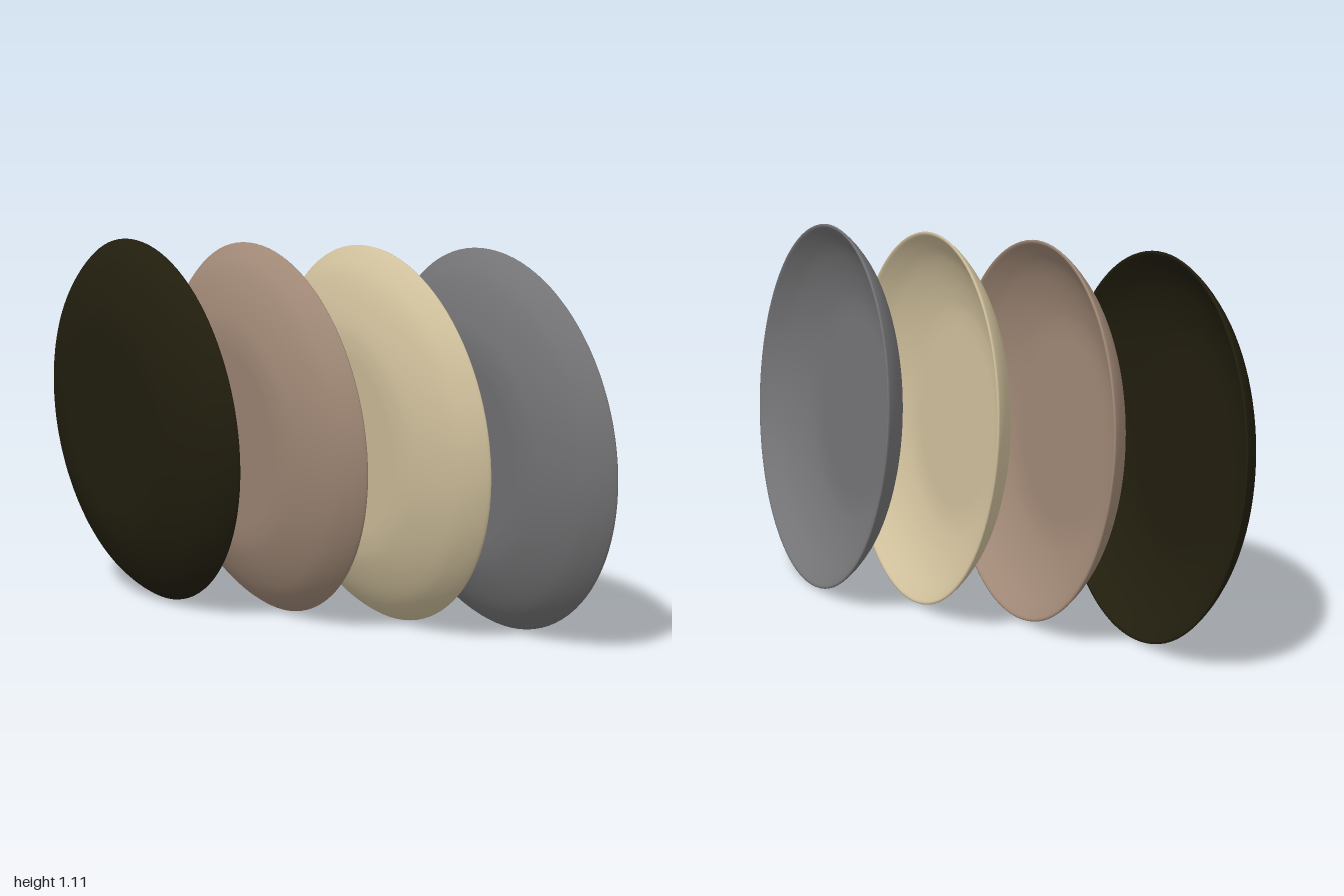
import * as THREE from 'three';

const v = (r, h) => new THREE.Vector2(r, h);

// Half cross-section of a shallow plate: underside, wall, rim, then inside
function plateProfile() {
  const outerWall = new THREE.SplineCurve([
    v(0.285, -0.132), v(0.34, -0.126), v(0.4, -0.109), v(0.455, -0.087),
    v(0.5, -0.062), v(0.535, -0.031), v(0.554, -0.008),
  ]).getPoints(20);
  const innerWall = new THREE.SplineCurve([
    v(0.546, -0.003), v(0.526, -0.022), v(0.49, -0.051), v(0.447, -0.075),
    v(0.395, -0.096), v(0.335, -0.112), v(0.28, -0.117),
  ]).getPoints(20);
  return [
    v(0, -0.132), v(0.14, -0.132), v(0.27, -0.132), ...outerWall,
    v(0.557, -0.003), v(0.556, 0), v(0.551, 0.001), ...innerWall,
    v(0.26, -0.117), v(0.14, -0.117), v(0, -0.117),
  ];
}

export function createModel() {
  const group = new THREE.Group();
  group.name = 'plateRow';
  const geometry = new THREE.LatheGeometry(plateProfile(), 96);
  // Stand each plate on its rim, leaning back five degrees, hollow side to +x
  geometry.rotateZ(-THREE.MathUtils.degToRad(85));

  const plates = [
    ['grey', 0x747476, 0.381, 0.441],
    ['cream', 0xd0c09c, 0.162, 0.165],
    ['taupe', 0xa08876, -0.058, -0.115],
    ['black', 0x211e0e, -0.279, -0.443],
  ];
  for (const [name, color, x, z] of plates) {
    const material = new THREE.MeshStandardMaterial({ color });
    material.name = `${name}Glaze`;
    const plate = new THREE.Mesh(geometry, material);
    plate.name = `${name}Plate`;
    plate.position.set(x, 0.557, z);
    group.add(plate);
  }
  return group;
}
